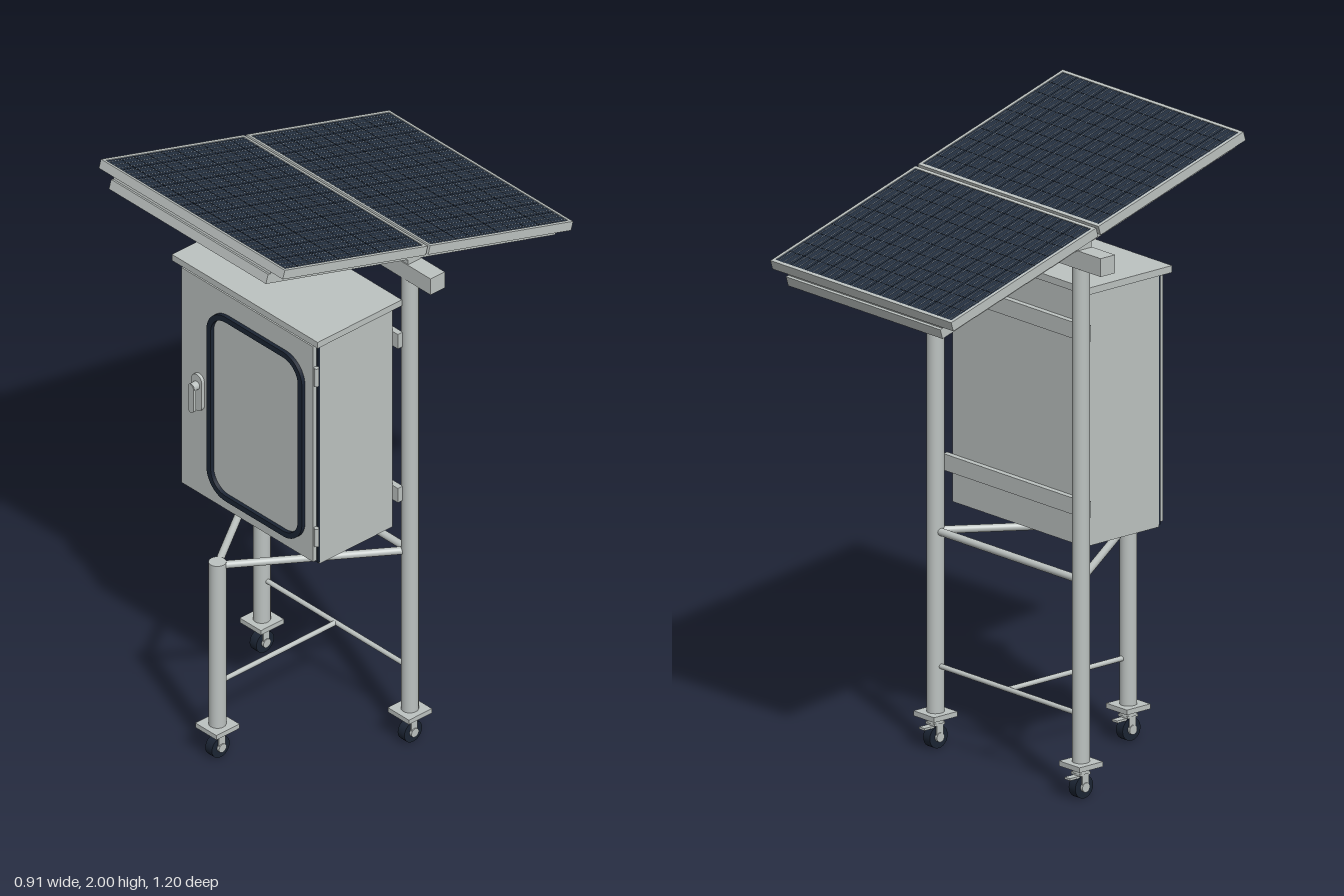
import * as THREE from 'three';

const mat = (name, color, side = THREE.FrontSide) => {
  const m = new THREE.MeshStandardMaterial({ color, side });
  m.name = name;
  return m;
};

export function createModel() {
  const root = new THREE.Group();
  root.name = 'solarCabinetCart';
  const grey = mat('light grey paint', 0xbcc2c0);
  const navy = mat('cell navy', 0x243040);
  const trim = mat('seal dark navy', 0x1b2433);
  const black = mat('cell gap black', 0x10161e);
  const silver = mat('busbar silver', 0xb4bec8);

  const add = (parent, name, geo, m, x = 0, y = 0, z = 0) => {
    const mesh = new THREE.Mesh(geo, m);
    mesh.name = name;
    mesh.position.set(x, y, z);
    parent.add(mesh);
    return mesh;
  };
  // box given by its extents
  const box = (parent, name, m, x0, x1, y0, y1, z0, z1) =>
    add(parent, name, new THREE.BoxGeometry(x1 - x0, y1 - y0, z1 - z0), m,
      (x0 + x1) / 2, (y0 + y1) / 2, (z0 + z1) / 2);
  // round bar between two points
  const bar = (parent, name, a, b, r, m = grey) => {
    const p = new THREE.Vector3(...a), q = new THREE.Vector3(...b);
    const d = q.clone().sub(p);
    const mesh = add(parent, name, new THREE.CylinderGeometry(r, r, d.length(), 24), m);
    mesh.position.copy(p).add(q).multiplyScalar(0.5);
    mesh.quaternion.setFromUnitVectors(new THREE.Vector3(0, 1, 0), d.normalize());
    return mesh;
  };
  const group = (name, parent = root) => {
    const g = new THREE.Group();
    g.name = name;
    parent.add(g);
    return g;
  };

  // Posts, front leg and braces
  const PX = 0.33, PZ = -0.006, LZ = 0.478;
  const stand = group('stand');
  for (const s of [-1, 1]) {
    bar(stand, 'rearPost', [s * PX, 0.11, PZ], [s * PX, 1.69, PZ], 0.027);
    bar(stand, 'upperDiagonalBrace', [s * PX, 0.687, PZ], [0, 0.687, LZ], 0.012);
    box(stand, 'panelBracket', grey, s * PX - 0.02, s * PX + 0.02, 1.735, 1.765, PZ - 0.025, PZ + 0.025);
  }
  bar(stand, 'frontLeg', [0, 0.11, LZ], [0, 0.7, LZ], 0.027);
  bar(stand, 'upperCrossBrace', [-PX, 0.687, PZ], [PX, 0.687, PZ], 0.012);
  bar(stand, 'lowerCrossBrace', [-PX, 0.262, PZ], [PX, 0.262, PZ], 0.008);
  bar(stand, 'lowerCentreBrace', [0, 0.262, PZ], [0, 0.262, LZ], 0.008);
  box(stand, 'topBeam', grey, -0.453, 0.453, 1.682, 1.74, PZ - 0.03, PZ + 0.028);

  // Casters
  for (const [x, z] of [[-PX, PZ], [PX, PZ], [0, LZ]]) {
    const c = group('caster');
    c.position.set(x, 0, z);
    box(c, 'mountPlate', grey, -0.047, 0.047, 0.098, 0.114, -0.047, 0.047);
    bar(c, 'swivel', [0, 0.08, 0], [0, 0.098, 0], 0.026);
    box(c, 'forkTop', grey, -0.021, 0.021, 0.074, 0.082, -0.022, 0.02);
    for (const s of [-1, 1]) box(c, 'forkSide', grey, s * 0.019 - 0.002, s * 0.019 + 0.002, 0.028, 0.076, -0.013, 0.013);
    bar(c, 'wheel', [-0.015, 0.036, 0], [0.015, 0.036, 0], 0.036, trim);
    bar(c, 'hub', [-0.024, 0.036, 0], [0.024, 0.036, 0], 0.015);
    box(c, 'brakeLever', grey, -0.012, 0.012, 0.066, 0.073, -0.055, -0.015);
  }

  // Cabinet body, roof and rear rails
  const cab = group('cabinet');
  box(cab, 'cabinetBody', grey, -0.3, 0.3, 0.775, 1.582, 0.037, 0.335);
  box(cab, 'cabinetRoof', grey, -0.325, 0.325, 1.58, 1.602, 0.022, 0.366);
  for (const y of [0.9, 1.457]) box(cab, 'mountRail', grey, -0.325, 0.325, y - 0.026, y + 0.026, 0.018, 0.038);
  box(cab, 'doorSeal', trim, -0.3, 0.3, 0.782, 1.572, 0.334, 0.342);
  box(cab, 'door', grey, -0.294, 0.294, 0.788, 1.566, 0.341, 0.356);
  for (const y of [0.88, 1.46]) bar(cab, 'hinge', [0.302, y - 0.032, 0.35], [0.302, y + 0.032, 0.35], 0.008);

  // Rounded window trim on the door
  const rounded = (P, w, h, r) => {
    const p = new P(), x = w / 2, y = h / 2;
    p.moveTo(x, y - r);
    p.absarc(x - r, y - r, r, 0, Math.PI / 2);
    p.absarc(-x + r, y - r, r, Math.PI / 2, Math.PI);
    p.absarc(-x + r, -y + r, r, Math.PI, Math.PI * 1.5);
    p.absarc(x - r, -y + r, r, Math.PI * 1.5, Math.PI * 2);
    p.closePath();
    return p;
  };
  const ring = rounded(THREE.Shape, 0.426, 0.666, 0.085);
  ring.holes.push(rounded(THREE.Path, 0.388, 0.628, 0.066));
  add(cab, 'windowTrim', new THREE.ExtrudeGeometry(ring, { depth: 0.014, bevelEnabled: false, curveSegments: 10 }),
    trim, 0.045, 1.161, 0.355);

  // Door handle: rounded base plate and grip
  const handle = group('doorHandle', cab);
  handle.position.set(-0.214, 1.157, 0.355);
  const ext = (w, h, d) => new THREE.ExtrudeGeometry(rounded(THREE.Shape, w, h, w * 0.49),
    { depth: d, bevelEnabled: false, curveSegments: 10 });
  add(handle, 'handlePlate', ext(0.046, 0.13, 0.012), grey);
  add(handle, 'handleGrip', ext(0.024, 0.1, 0.01), grey, 0, -0.012, 0.026);
  bar(handle, 'handlePivot', [0, 0.027, 0.01], [0, 0.027, 0.034], 0.014);

  // Tilted solar array: local y = 0 is the top face
  const array = group('solarArray');
  array.position.set(0, 1.824, -0.011);
  array.rotation.x = -0.291;
  const HX = 0.41, LEN = 0.61, rim = 0.011;
  for (const s of [-1, 1]) {
    const p = group('solarPanel', array);
    p.position.z = s * (LEN / 2 + 0.005);
    const hz = LEN / 2;
    for (const t of [-1, 1]) {
      box(p, 'sideFrame', grey, t * (HX - rim / 2) - rim / 2, t * (HX - rim / 2) + rim / 2, -0.03, 0, -hz, hz);
      box(p, 'endFrame', grey, -HX + rim, HX - rim, -0.03, 0,
        t * (hz - rim / 2) - rim / 2, t * (hz - rim / 2) + rim / 2);
    }
    const cx = HX - rim, cz = hz - rim;
    box(p, 'backSheet', grey, -cx, cx, -0.014, -0.006, -cz, cz);
    box(p, 'cellSheet', navy, -cx, cx, -0.006, -0.002, -cz, cz);
    // gaps between cells, and three busbars per cell column
    for (let i = 1; i < 10; i++) {
      const z = -cz + (2 * cz * i) / 10;
      box(p, 'rowGap', black, -cx, cx, -0.003, -0.0015, z - 0.001, z + 0.001);
    }
    for (let i = 1; i < 12; i++) {
      const x = -cx + (2 * cx * i) / 12;
      box(p, 'columnGap', black, x - 0.0008, x + 0.0008, -0.003, -0.0015, -cz, cz);
    }
    for (let i = 0; i < 36; i++) {
      const x = -cx + (2 * cx * (i + 0.5)) / 36;
      box(p, 'busbar', silver, x - 0.0005, x + 0.0005, -0.003, -0.001, -cz, cz);
    }
  }

  // Sub-frame under the panels
  const RZ = 0.617;
  for (const s of [-1, 1]) {
    box(array, 'slopeRail', grey, s * 0.33 - 0.02, s * 0.33 + 0.02, -0.072, -0.04, -RZ, RZ);
    box(array, 'endRail', grey, -0.31, 0.31, -0.072, -0.04, s * (RZ - 0.02) - 0.02, s * (RZ - 0.02) + 0.02);
    for (const z of [0.21, 0.575]) box(array, 'spacerStrip', grey, -0.35, 0.35, -0.041, -0.029, s * z - 0.033, s * z + 0.033);
  }
  return root;
}
